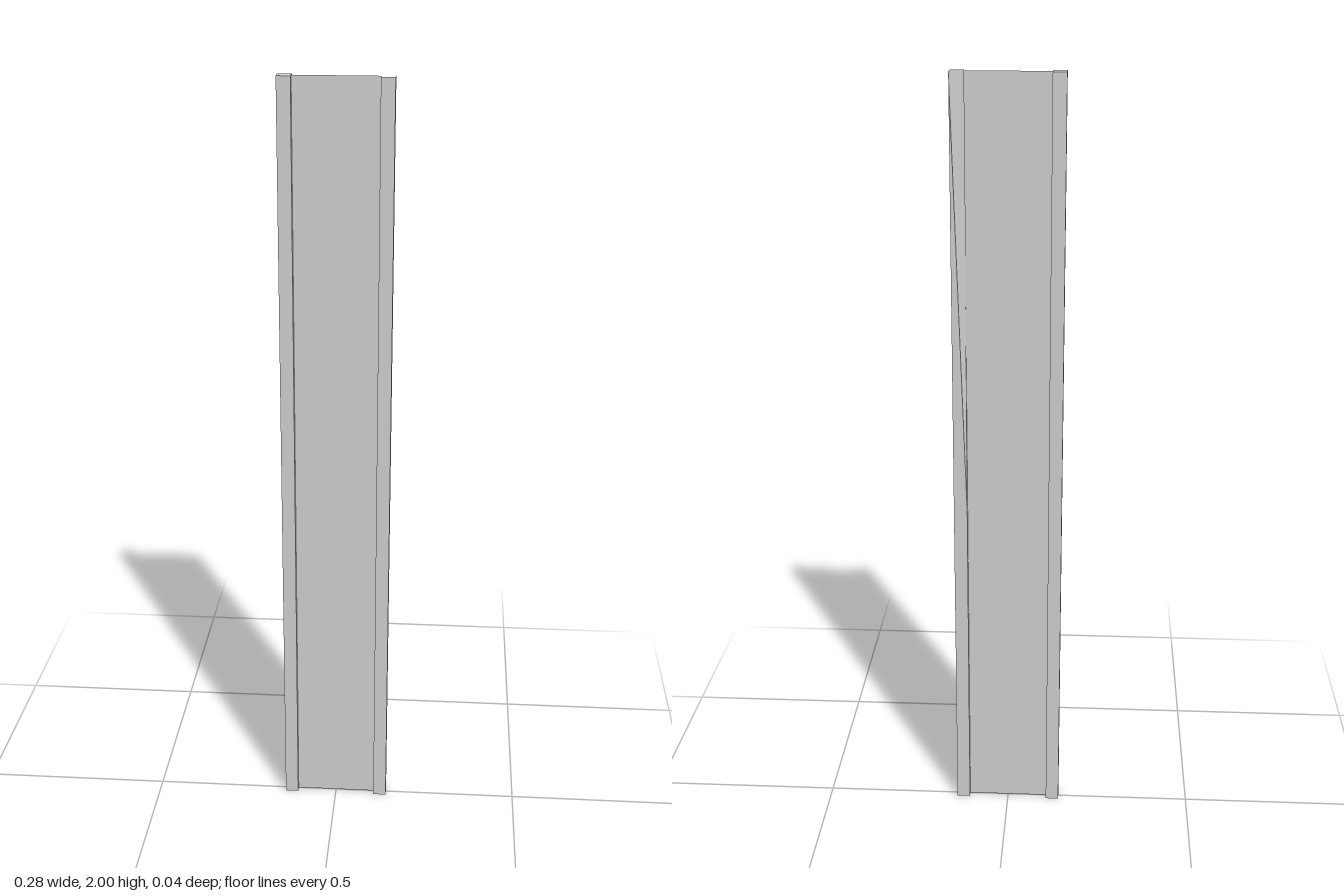
import * as THREE from 'three';

const HEIGHT = 2;
const POST = 0.035; // square section of each post
const OUTER = 0.142; // half of the overall width
const INNER = OUTER - POST;

const material = new THREE.MeshStandardMaterial({ color: 0xcccccc });

function postGeometry() {
  return new THREE.BoxGeometry(POST, HEIGHT, POST).translate(0, HEIGHT / 2, 0);
}

// Post whose inner back top corner is pulled far down, leaving a folded, steep top
function cutPostGeometry(cutHeight) {
  const geometry = postGeometry();
  const p = geometry.attributes.position;
  for (let i = 0; i < p.count; i++) {
    if (p.getX(i) < 0 && p.getZ(i) < 0 && p.getY(i) > 1) p.setY(i, cutHeight);
  }
  // fold the top face along the diagonal through the lowered corner
  [8, 10, 11, 8, 11, 9].forEach((v, k) => geometry.index.setX(12 + k, v));
  geometry.computeVertexNormals();
  return geometry;
}

export function createModel() {
  const group = new THREE.Group();
  const add = (name, geometry, x, mat = material) => {
    const mesh = new THREE.Mesh(geometry, mat);
    mesh.name = name;
    mesh.position.x = x;
    group.add(mesh);
  };

  // Posts on both sides
  add('rightPost', postGeometry(), -(OUTER + INNER) / 2);
  add('leftPost', cutPostGeometry(0.87), (OUTER + INNER) / 2);

  // Thin sheet between the posts
  const sheet = new THREE.PlaneGeometry(INNER * 2, HEIGHT).translate(0, HEIGHT / 2, 0);
  const sheetMaterial = material.clone();
  sheetMaterial.side = THREE.DoubleSide;
  add('panel', sheet, 0, sheetMaterial);

  return group;
}
